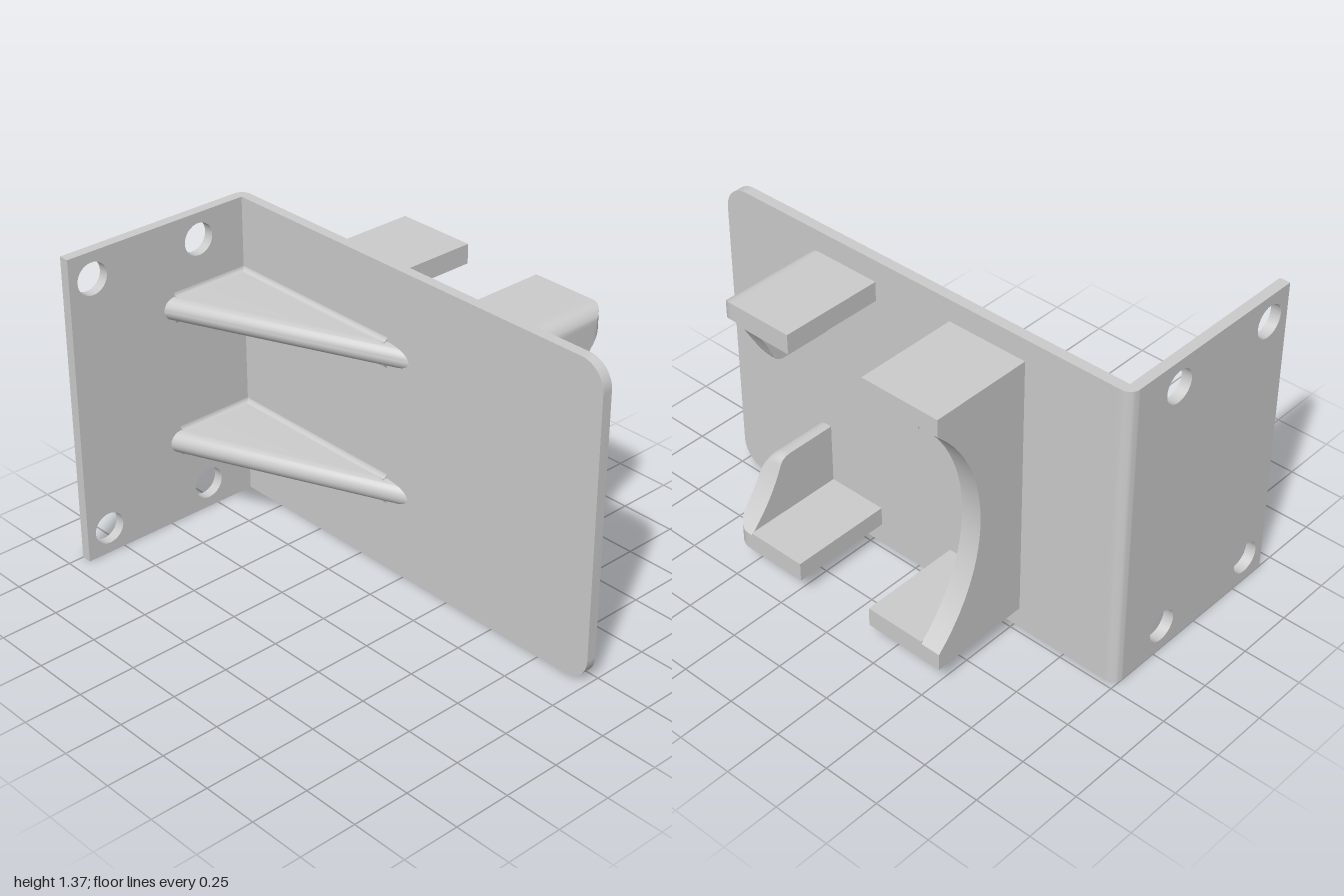
import * as THREE from 'three';
import { toCreasedNormals } from 'three/addons/utils/BufferGeometryUtils.js';

const H = 1.365, MID = H / 2;              // plate height and its middle
const BACK = -0.227, FACE = -0.182;        // back and front faces of the plate
const WALL = -0.955, END = -0.68;          // inner face of the side flange, rear end of the clips
const R = 0.696, CZ = -1.151;              // cradle circle
const arcZ = (y) => CZ + Math.sqrt(R * R - (y - MID) ** 2);
const arcY = (z) => MID + Math.sqrt(R * R - (z - CZ) ** 2);
const material = new THREE.MeshStandardMaterial({ color: 0xcccccc });

// Skin equal-length loops of 2D points, placed in space by put(u, v, level), and cap both ends.
function loft(levels, profile, put) {
  const loops = levels.map((l) => profile(l).map(([u, v]) => put(u, v, l)));
  const n = loops[0].length, tris = [];
  for (let i = 0; i + 1 < loops.length; i++) {
    for (let j = 0; j < n; j++) {
      const k = (j + 1) % n, a = loops[i], b = loops[i + 1];
      tris.push([a[j], a[k], b[k]], [a[j], b[k], b[j]]);
    }
  }
  [0, loops.length - 1].forEach((i) => {
    const flat = profile(levels[i]).map(([u, v]) => new THREE.Vector2(u, v));
    const ccw = THREE.ShapeUtils.area(flat) > 0;
    for (const [a, b, c] of THREE.ShapeUtils.triangulateShape(flat, [])) {
      const t = [loops[i][a], loops[i][b], loops[i][c]];
      tris.push((i === 0) === ccw ? t.reverse() : t);
    }
  });
  // Turn the skin outward if its volume comes out negative
  const volume = tris.reduce((s, [a, b, c]) => s + a.dot(b.clone().cross(c)), 0);
  if (volume < 0) tris.forEach((t) => t.reverse());
  const geo = new THREE.BufferGeometry().setFromPoints(tris.flat());
  return toCreasedNormals(geo, 0.5);
}

export function createModel() {
  const group = new THREE.Group();
  const add = (name, geo) => {
    const mesh = new THREE.Mesh(geo, material);
    mesh.name = name;
    group.add(mesh);
    return mesh;
  };
  const box = (name, x0, x1, y0, y1, z0, z1) =>
    add(name, new THREE.BoxGeometry(x1 - x0, y1 - y0, z1 - z0))
      .position.set((x0 + x1) / 2, (y0 + y1) / 2, (z0 + z1) / 2);
  const extrude = (shape, depth) => toCreasedNormals(
    new THREE.ExtrudeGeometry(shape, { depth, bevelEnabled: false, curveSegments: 16 }), 0.5);
  const V = (x, y, z) => new THREE.Vector3(x, y, z);

  // Main plate with two rounded corners
  const r = 0.11;
  const plate = new THREE.Shape();
  plate.moveTo(-0.94, 0).lineTo(1 - r, 0);
  plate.absarc(1 - r, r, r, -Math.PI / 2, 0);
  plate.absarc(1 - r, H - r, r, 0, Math.PI / 2);
  plate.lineTo(-0.94, H);
  add('mainPlate', extrude(plate, FACE - BACK).translate(0, 0, BACK));

  // Rounded bend between plate and side flange
  const bend = [[-0.94, FACE], [-1, FACE]];
  for (let i = 0; i <= 8; i++) {
    const a = (i / 8) * Math.PI / 2;
    bend.push([-0.955 - 0.045 * Math.cos(a), FACE - 0.045 * Math.sin(a)]);
  }
  bend.splice(1, 1);
  bend.push([-0.94, BACK]);
  add('bend', loft([0, H], () => bend, (x, z, y) => V(x, y, z)));

  // Side flange with four screw holes
  const flange = new THREE.Shape();
  flange.moveTo(FACE, 0).lineTo(0.68, 0).lineTo(0.68, H).lineTo(FACE, H).closePath();
  for (const z of [0.045, 0.57]) {
    for (const y of [0.115, H - 0.115]) {
      flange.holes.push(new THREE.Path().absarc(z, y, 0.07, 0, Math.PI * 2, true));
    }
  }
  add('sideFlange', extrude(flange, 0.045).rotateY(-Math.PI / 2).translate(WALL, 0, 0));

  // Gussets with a fully rounded sloping edge and small fillets at the base
  const half = 0.05, run = 0.975, rise = 0.415, f = 0.018;
  const slope = Math.hypot(run, rise);
  const cove = [[-0.005, -0.005], [f, -0.005], [f, 0], [f * 0.55, f * 0.12],
    [f * 0.3, f * 0.3], [f * 0.12, f * 0.55], [0, f], [-0.005, f]];
  for (const y0 of [0.375, H - 0.375]) {
    const layers = [];
    for (let i = 0; i <= 16; i++) layers.push(-half * Math.cos((i / 16) * Math.PI));
    add('gusset', loft(layers, (d) => {
      const inset = half - Math.sqrt(Math.max(0, half * half - d * d));
      return [[WALL - 0.005, FACE - 0.005],
        [WALL + run - inset * slope / rise, FACE - 0.005],
        [WALL + run - inset * slope / rise, FACE],
        [WALL, FACE + rise - inset * slope / run],
        [WALL - 0.005, FACE + rise - inset * slope / run]];
    }, (x, z, d) => V(x, y0 + d, z)));
    for (const s of [-1, 1]) {
      add('gussetPlateFillet', loft([WALL, -0.1], () => cove,
        (u, v, x) => V(x, y0 + s * (half + u), FACE + v)));
      add('gussetFlangeFillet', loft([FACE, FACE + 0.36], () => cove,
        (u, v, z) => V(WALL + v, y0 + s * (half + u), z)));
    }
  }

  // Clip on the right: one full web with a curved cradle, closed by two lips
  const lo = 0.095, hi = H - lo, lip = 0.085, web = 0.09, root = BACK + 0.005;
  const yk = arcY(END);
  const cradle = [[root, lo], [END, lo]];
  for (let i = 0; i <= 24; i++) {
    const y = H - yk + (2 * yk - H) * i / 24;
    cradle.push([arcZ(y), y]);
  }
  cradle.push([END, hi], [root, hi]);
  add('rightClipWeb', loft([-0.525, -0.525 + web], () => cradle, (z, y, x) => V(x, y, z)));

  // Clip on the left: two short webs, rounded along their outer edges
  const fillet = 0.065, outer = 0.565;
  const steps = [outer - web];
  for (let i = 0; i <= 8; i++) steps.push(outer - fillet + fillet * Math.sin((i / 8) * Math.PI / 2));
  const shortWeb = (x) => {
    const d = Math.max(0, x - outer + fillet);
    const inset = fillet - Math.sqrt(Math.max(0, fillet * fillet - d * d));
    const yb = 0.915 + inset, ys = yb + 0.035, ye = arcY(END + inset);
    const points = [[root, yb]];
    for (let i = 0; i < 6; i++) {                 // rounded inner corner
      const t = i / 6, q = 1 - t;
      points.push([q * q * -0.45 + 2 * q * t * arcZ(yb) + t * t * arcZ(ys), yb + t * t * 0.035]);
    }
    for (let i = 0; i <= 12; i++) {
      const y = ys + (ye - ys) * i / 12;
      points.push([arcZ(y), y]);
    }
    points.push([END + inset, hi - inset], [root, hi - inset]);
    return points;
  };
  for (const up of [true, false]) {
    const y0 = up ? hi - lip : lo;
    add('leftClipWeb', loft(steps, shortWeb, (z, y, x) => V(x, up ? y : H - y, z)));
    box('leftClipLip', 0.205, outer - web, y0, y0 + lip, END, root);
    box('rightClipLip', -0.525 + web, -0.165, y0, y0 + lip, END, root);
  }
  return group;
}
